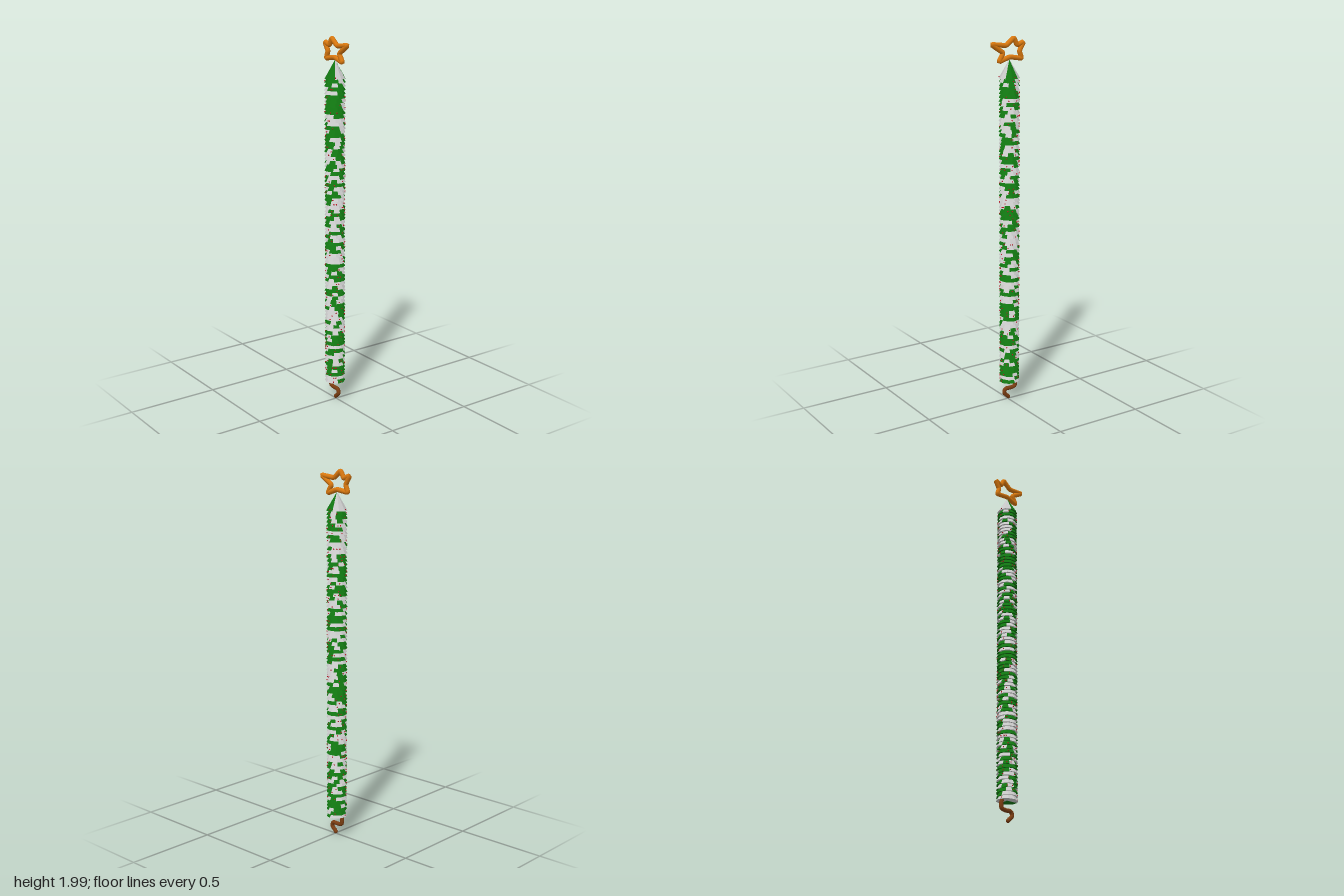
import * as THREE from 'three';
import { mergeGeometries } from 'three/addons/utils/BufferGeometryUtils.js';

const AXIS_Z = -0.01, SIDES = 10, TIERS = 84;
const BASE_LOW = 0.11, BASE_TOP = 1.78, HEIGHT = 0.095, RADIUS = 0.056;

// Small seeded generator
let seed = 7;
function rand() {
  seed = (seed * 16807) % 2147483647;
  return seed / 2147483647;
}

function material(color, flatShading = false) {
  return new THREE.MeshStandardMaterial({ color, flatShading });
}

function named(name, geometry, mat) {
  const mesh = new THREE.Mesh(geometry, mat);
  mesh.name = name;
  return mesh;
}

// Triangles of coloured needles or snow, one wedge of a cone at a time
function facesFrom(points) {
  const geometry = new THREE.BufferGeometry().setFromPoints(points);
  geometry.computeVertexNormals();
  return geometry;
}

// Stacked cones whose wedges are either green or snowy, with berries on the rims
function buildTiers() {
  const green = [], snow = [], berries = [];
  for (let i = 0; i < TIERS; i++) {
    const top = i === TIERS - 1;
    const y = BASE_LOW + (BASE_TOP - BASE_LOW) * i / (TIERS - 1);
    const turn = rand() * Math.PI * 2;
    const tilt = top ? 0 : 0.07 * (rand() - 0.5);
    const tier = new THREE.Matrix4().makeRotationFromEuler(new THREE.Euler(tilt, 0, tilt / 2));
    tier.setPosition(0, y, AXIS_Z);
    const place = (r, h, a) =>
      new THREE.Vector3(r * Math.cos(a), h, r * Math.sin(a)).applyMatrix4(tier);
    const apex = place(0, HEIGHT, 0), centre = place(0, 0.004, 0);
    let snowy = rand() < 0.5;
    for (let k = 0; k < SIDES; k++) {
      const a = turn + k * 2 * Math.PI / SIDES, b = a + 2 * Math.PI / SIDES;
      const p = place(RADIUS, 0, a), q = place(RADIUS, 0, b);
      if (top) snowy = k % 4 < 2;
      else if (rand() < 0.45) snowy = !snowy;
      (snowy ? snow : green).push(apex, q, p, centre, p, q);
    }
    for (let k = 0; k < 3; k++) {
      const spot = place(RADIUS * 0.93, 0.008, rand() * Math.PI * 2);
      berries.push(new THREE.IcosahedronGeometry(0.0038, 0).translate(spot.x, spot.y, spot.z));
    }
  }
  const group = new THREE.Group();
  group.name = 'branchTiers';
  group.add(
    named('greenNeedles', facesFrom(green), material(0x117711, true)),
    named('snowPatches', facesFrom(snow), material(0xdddddd, true)),
    named('berries', mergeGeometries(berries), material(0xbb1522)),
  );
  return group;
}

// Bent-wire star in the side plane, as [z, y]
function buildStar() {
  const corners = [
    [0.100, 1.957], [0.010, 1.946], [-0.037, 1.984], [-0.057, 1.946], [-0.098, 1.961],
    [-0.071, 1.915], [-0.086, 1.876], [-0.012, 1.888], [0.055, 1.866], [0.027, 1.910],
  ].map(([z, y]) => new THREE.Vector3(0, y, z));
  const path = new THREE.CurvePath();
  const n = corners.length;
  // Straight runs joined by short rounded bends
  for (let i = 0; i < n; i++) {
    const here = corners[i], prev = corners[(i + n - 1) % n];
    const next = corners[(i + 1) % n], after = corners[(i + 2) % n];
    const bendIn = here.clone().lerp(prev, 0.15), bendOut = here.clone().lerp(next, 0.15);
    path.add(new THREE.QuadraticBezierCurve3(bendIn, here, bendOut));
    path.add(new THREE.LineCurve3(bendOut, next.clone().lerp(here, 0.15)));
  }
  return named('star', new THREE.TubeGeometry(path, 160, 0.013, 10, true), material(0xd9780f));
}

// Crooked trunk curling under the lowest tier
function buildTrunk() {
  const points = [
    [-0.03, 0.14], [-0.047, 0.105], [-0.046, 0.07], [-0.02, 0.063],
    [0.015, 0.062], [0.024, 0.043], [0.012, 0.027], [-0.002, 0.016],
  ].map(([z, y]) => new THREE.Vector3(0, y, z));
  const group = new THREE.Group();
  group.name = 'trunk';
  const wood = material(0x7a3d12);
  const curve = new THREE.CatmullRomCurve3(points);
  group.add(named('trunkStem', new THREE.TubeGeometry(curve, 48, 0.011, 10), wood));
  const tip = named('trunkTip', new THREE.SphereGeometry(0.011, 10, 8), wood);
  tip.position.set(0, 0.013, -0.003);
  group.add(tip);
  return group;
}

export function createModel() {
  seed = 7;
  const model = new THREE.Group();
  model.name = 'decoratedTree';
  model.add(buildTiers(), buildStar(), buildTrunk());
  return model;
}
